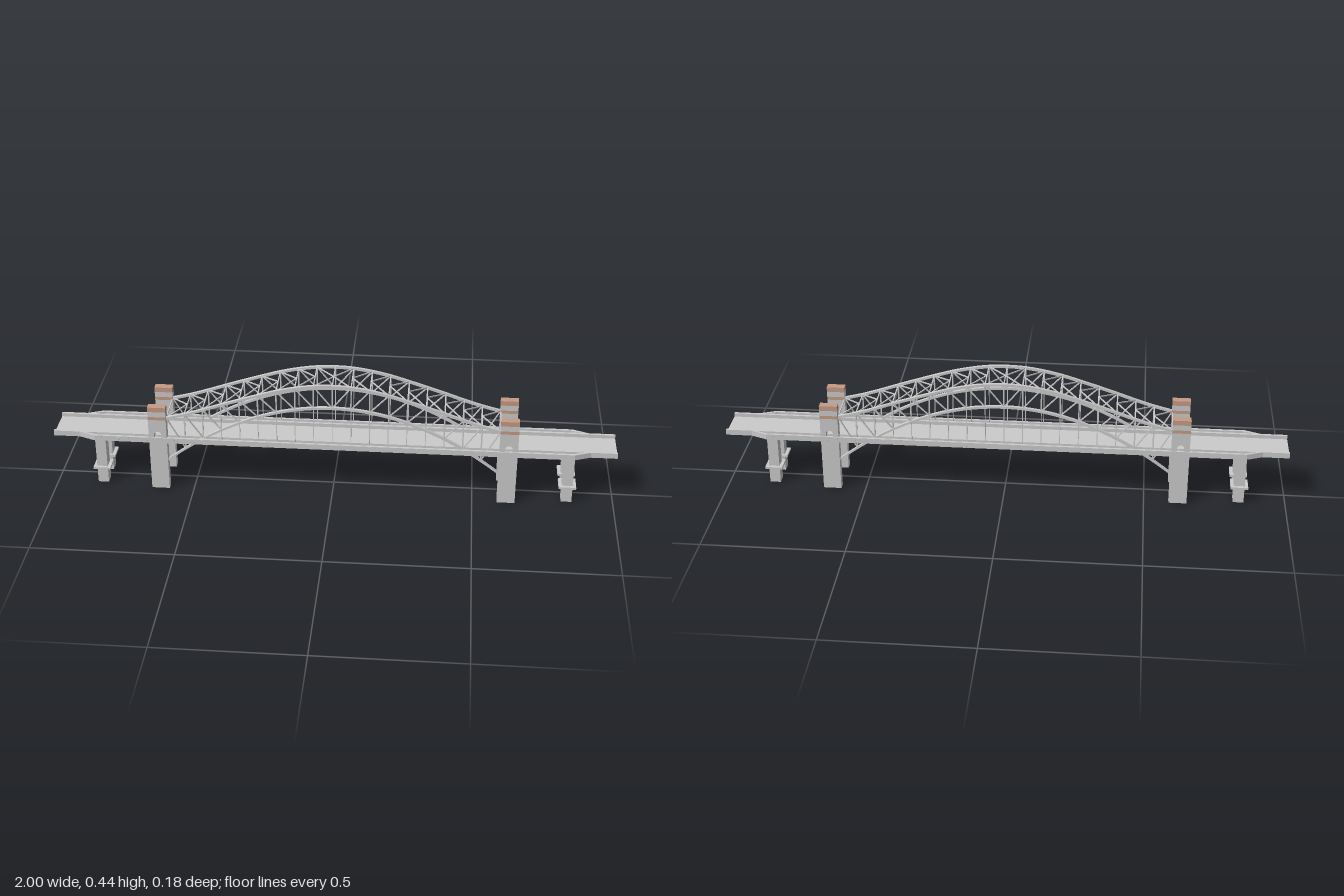
import * as THREE from 'three';

const grey = new THREE.MeshStandardMaterial({ color: 0xcccccc, side: THREE.DoubleSide });
const brown = new THREE.MeshStandardMaterial({ color: 0xc59c84 });

const STEP = 0.0655;          // truss panel length
const PANELS = 9;             // panels each side of the crown
const ARCH_Z = 0.0725;        // centre plane of each arch
const DECK_Y = 0.197;

const topLevels = [0.436, 0.433, 0.423, 0.408, 0.388, 0.367, 0.345, 0.322, 0.301, 0.284];
const topCurve = new THREE.SplineCurve(
  [...topLevels.slice(1).reverse(), ...topLevels].map((y, i) => new THREE.Vector2((i - PANELS) * STEP, y)));
const bottomY = x => 0.35 - 0.237 * (x / 0.59) ** 2;

function add(parent, name, geometry, material = grey) {
  const mesh = new THREE.Mesh(geometry, material);
  mesh.name = name;
  parent.add(mesh);
  return mesh;
}

// Box given by its minimum and maximum corners
function block(parent, name, [x0, y0, z0], [x1, y1, z1], material) {
  const mesh = add(parent, name, new THREE.BoxGeometry(x1 - x0, y1 - y0, z1 - z0), material);
  mesh.position.set((x0 + x1) / 2, (y0 + y1) / 2, (z0 + z1) / 2);
  return mesh;
}

// Square bar between two points
function beam(parent, name, a, b, width, depth = width) {
  const p = new THREE.Vector3(...a), q = new THREE.Vector3(...b);
  const mesh = add(parent, name, new THREE.BoxGeometry(width, depth, p.distanceTo(q)));
  mesh.position.copy(p).add(q).multiplyScalar(0.5);
  mesh.lookAt(q);
  return mesh;
}

// Curved chord: a band around a line of points, extruded across z
function chord(parent, name, points, thickness, width, z) {
  const up = points.map(p => new THREE.Vector2(p.x, p.y + thickness / 2));
  const down = points.map(p => new THREE.Vector2(p.x, p.y - thickness / 2)).reverse();
  const geometry = new THREE.ExtrudeGeometry(new THREE.Shape([...up, ...down]), { depth: width, bevelEnabled: false });
  add(parent, name, geometry).position.z = z - width / 2;
}

// Flat outline in x and z, extruded upwards
function planWall(parent, name, points, y0, y1) {
  const shape = new THREE.Shape(points.map(([x, z]) => new THREE.Vector2(x, -z)));
  const geometry = new THREE.ExtrudeGeometry(shape, { depth: y1 - y0, bevelEnabled: false });
  geometry.rotateX(-Math.PI / 2);
  add(parent, name, geometry).position.y = y0;
}

function buildArch(z) {
  const arch = new THREE.Group();
  arch.name = 'archTruss';
  chord(arch, 'topChord', topCurve.getPoints(54), 0.009, 0.011, z);
  const lower = Array.from({ length: 49 }, (_, i) => {
    const x = -0.59 + 1.18 * i / 48;
    return { x, y: bottomY(x) };
  });
  chord(arch, 'bottomChord', lower, 0.009, 0.011, z);
  for (let k = -PANELS + 1; k < PANELS; k++) {
    const x = k * STEP, y = topLevels[Math.abs(k)];
    beam(arch, 'truss post', [x, bottomY(x), z], [x, y, z], 0.005, 0.004);
    if (bottomY(x) > DECK_Y) beam(arch, 'hanger', [x, DECK_Y, z], [x, bottomY(x), z], 0.003);
    // diagonals lean outwards from the crown
    for (const s of k === 0 ? [-1, 1] : [Math.sign(k)]) {
      const n = k + s;
      beam(arch, 'truss diagonal', [x, bottomY(x), z], [n * STEP, topLevels[Math.abs(n)], z], 0.005, 0.004);
    }
  }
  return arch;
}

function buildTower() {
  const tower = new THREE.Group();
  tower.name = 'tower';
  // shaft with an arched doorway above the deck
  const shape = new THREE.Shape();
  shape.moveTo(-0.032, 0).lineTo(0.032, 0).lineTo(0.032, 0.281).lineTo(-0.032, 0.281).closePath();
  const door = new THREE.Path();
  door.moveTo(-0.013, 0.2).lineTo(-0.013, 0.221);
  door.absarc(0, 0.221, 0.013, Math.PI, 0, true);
  door.lineTo(0.013, 0.2).closePath();
  shape.holes.push(door);
  const geometry = new THREE.ExtrudeGeometry(shape, { depth: 0.027, bevelEnabled: false });
  add(tower, 'towerShaft', geometry).position.z = -0.0135;
  // banded head
  [[0.281, 0.293, brown], [0.293, 0.313, grey], [0.313, 0.331, brown]].forEach(([y0, y1, m]) =>
    block(tower, 'towerBand', [-0.032, y0, -0.0135], [0.032, y1, 0.0135], m));
  return tower;
}

export function createModel() {
  const bridge = new THREE.Group();
  bridge.name = 'archBridge';

  // Roadway
  const deck = add(bridge, 'roadDeck', new THREE.PlaneGeometry(2, 0.118));
  deck.rotation.x = -Math.PI / 2;
  deck.position.y = DECK_Y;

  for (const s of [-1, 1]) {
    // Parapet beside the road and outer walkway girder with flared ends
    block(bridge, 'parapet', [-1, 0.19, Math.min(s * 0.058, s * 0.0675)], [1, 0.21, Math.max(s * 0.058, s * 0.0675)]);
    planWall(bridge, 'walkwayGirder', [
      [-0.91, s * 0.066], [-0.85, s * 0.09], [0.85, s * 0.09], [0.91, s * 0.066],
      [0.89, s * 0.066], [0.845, s * 0.081], [-0.845, s * 0.081], [-0.89, s * 0.066]], 0.19, 0.21);
    // Walkway cross beams and girder stiffeners
    for (let i = -25; i <= 25; i++) {
      const x = i * 0.033;
      beam(bridge, 'walkwayCrossBeam', [x, 0.197, s * 0.066], [x, 0.197, s * 0.083], 0.005);
      block(bridge, 'girderStiffener', [x - 0.002, 0.191, s * 0.09 - 0.001], [x + 0.002, 0.209, s * 0.09 + 0.001]);
    }
    bridge.add(buildArch(s * ARCH_Z));

    for (const e of [-1, 1]) {
      const tower = buildTower();
      tower.position.set(e * 0.62, 0, s * 0.0735);
      bridge.add(tower);
      // Approach pier with collar
      const pier = new THREE.Group();
      pier.name = 'approachPier';
      block(pier, 'pierShaft', [-0.019, 0, -0.019], [0.019, DECK_Y - 0.001, 0.019]);
      block(pier, 'pierCollar', [-0.031, 0.059, -0.031], [0.031, 0.067, 0.031]);
      pier.position.set(e * 0.835, 0, s * 0.044);
      bridge.add(pier);
    }
  }

  // Cross struts and chevron bracing between the top chords
  for (let k = -PANELS; k <= PANELS; k++) {
    const x = k * STEP, y = topLevels[Math.abs(k)];
    beam(bridge, 'crossStrut', [x, y, -ARCH_Z], [x, y, ARCH_Z], 0.004);
    if (k === 0) continue;
    const n = k - Math.sign(k);
    for (const s of [-1, 1])
      beam(bridge, 'chevronBrace', [x, y, s * ARCH_Z], [n * STEP, topLevels[Math.abs(n)], 0], 0.004);
  }
  return bridge;
}
